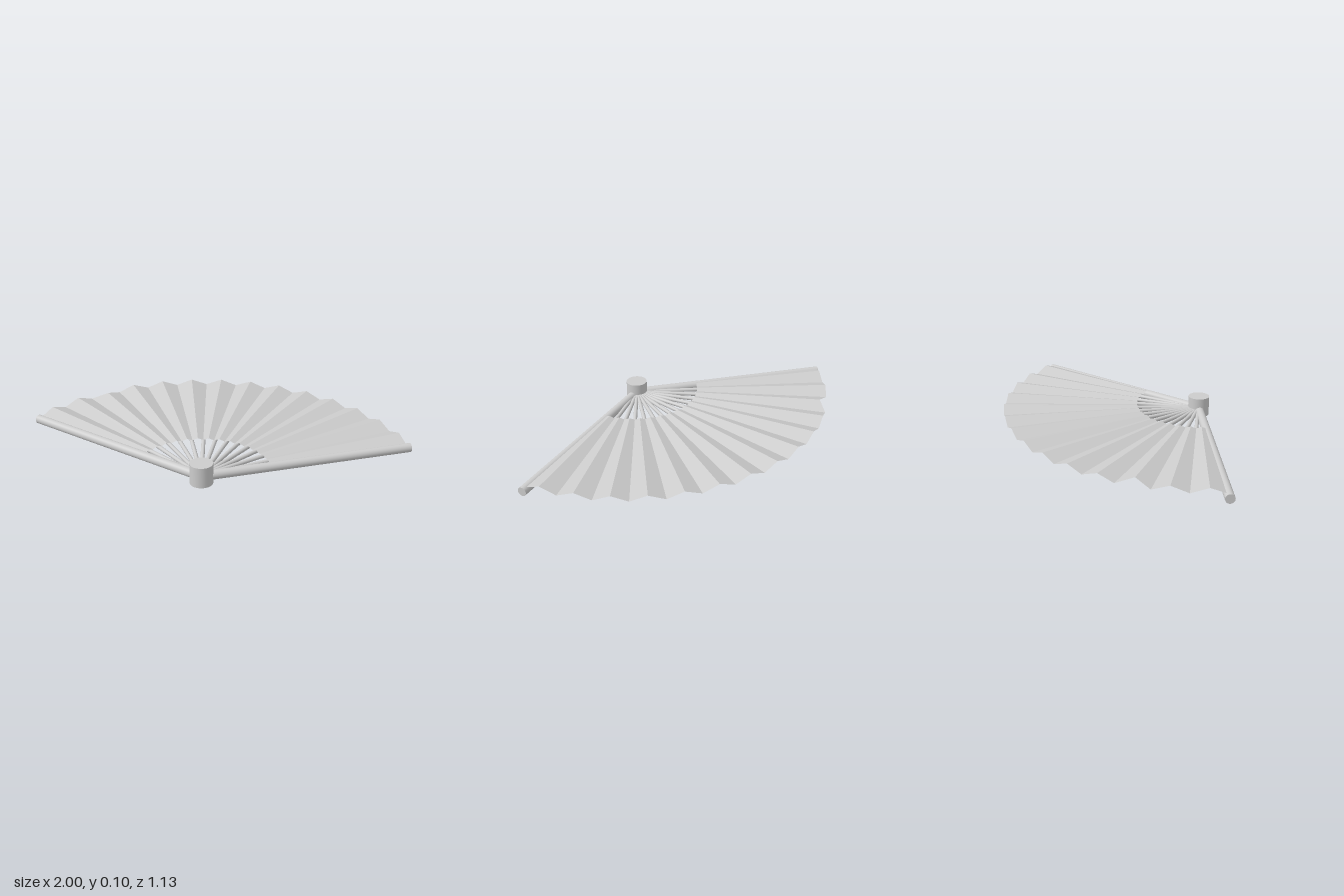
import * as THREE from 'three';

const PIVOT_Z = 0.508;
const HALF_SPAN = THREE.MathUtils.degToRad(65);
const FOLDS = 14; // folds on each side of the centre line
const STEP = HALF_SPAN / FOLDS;

// point at a radius and angle around the pivot, angle 0 pointing backwards
function polar(radius, angle, y) {
  return new THREE.Vector3(radius * Math.sin(angle), y, PIVOT_Z - radius * Math.cos(angle));
}

function rod(name, from, to, radius, segments, material) {
  const direction = to.clone().sub(from);
  const mesh = new THREE.Mesh(
    new THREE.CylinderGeometry(radius, radius, direction.length(), segments), material);
  mesh.position.copy(from).add(to).multiplyScalar(0.5);
  mesh.quaternion.setFromUnitVectors(new THREE.Vector3(0, 1, 0), direction.normalize());
  mesh.name = name;
  return mesh;
}

// pleated sheet: odd folds are ridges, even folds are valleys
function leafGeometry() {
  const inner = 0.343, outer = 1.073, base = 0.054, height = 0.03;
  const fold = (k, radius) =>
    polar(radius, k * STEP, base + (k % 2 ? height * radius / outer : 0));
  const rim = (k) => (k === -9 ? 1.034 : outer); // one ridge is nicked at the rim
  const points = [];
  for (let k = -FOLDS; k < FOLDS; k++) {
    const a = fold(k, inner), b = fold(k + 1, inner);
    const c = fold(k + 1, rim(k + 1)), d = fold(k, rim(k));
    points.push(a, b, c, a, c, d);
  }
  const geometry = new THREE.BufferGeometry().setFromPoints(points);
  geometry.computeVertexNormals();
  return geometry;
}

export function createModel() {
  const fan = new THREE.Group();
  fan.name = 'foldingFan';
  const grey = new THREE.MeshStandardMaterial({ color: 0xcccccc, side: THREE.DoubleSide });
  grey.name = 'lightGrey';

  // pin that holds the sticks together
  const pivot = new THREE.Mesh(new THREE.CylinderGeometry(0.057, 0.057, 0.105, 32), grey);
  pivot.position.set(0, 0.0525, PIVOT_Z);
  pivot.name = 'pivotPin';
  fan.add(pivot);

  // pleated leaf
  const leaf = new THREE.Mesh(leafGeometry(), grey);
  leaf.name = 'pleatedLeaf';
  fan.add(leaf);

  // thick outer guards
  for (const side of [-1, 1]) {
    const angle = side * HALF_SPAN;
    fan.add(rod(side > 0 ? 'leftGuard' : 'rightGuard',
      polar(0.045, angle, 0.034), polar(1.092, angle, 0.04), 0.0235, 32, grey));
  }

  // thin ribs, one under each valley
  const ribs = new THREE.Group();
  ribs.name = 'ribs';
  for (let k = -FOLDS + 2; k < FOLDS; k += 2) {
    ribs.add(rod('rib', polar(0.04, k * STEP, 0.035), polar(0.98, k * STEP, 0.038), 0.0105, 16, grey));
  }
  fan.add(ribs);

  return fan;
}
